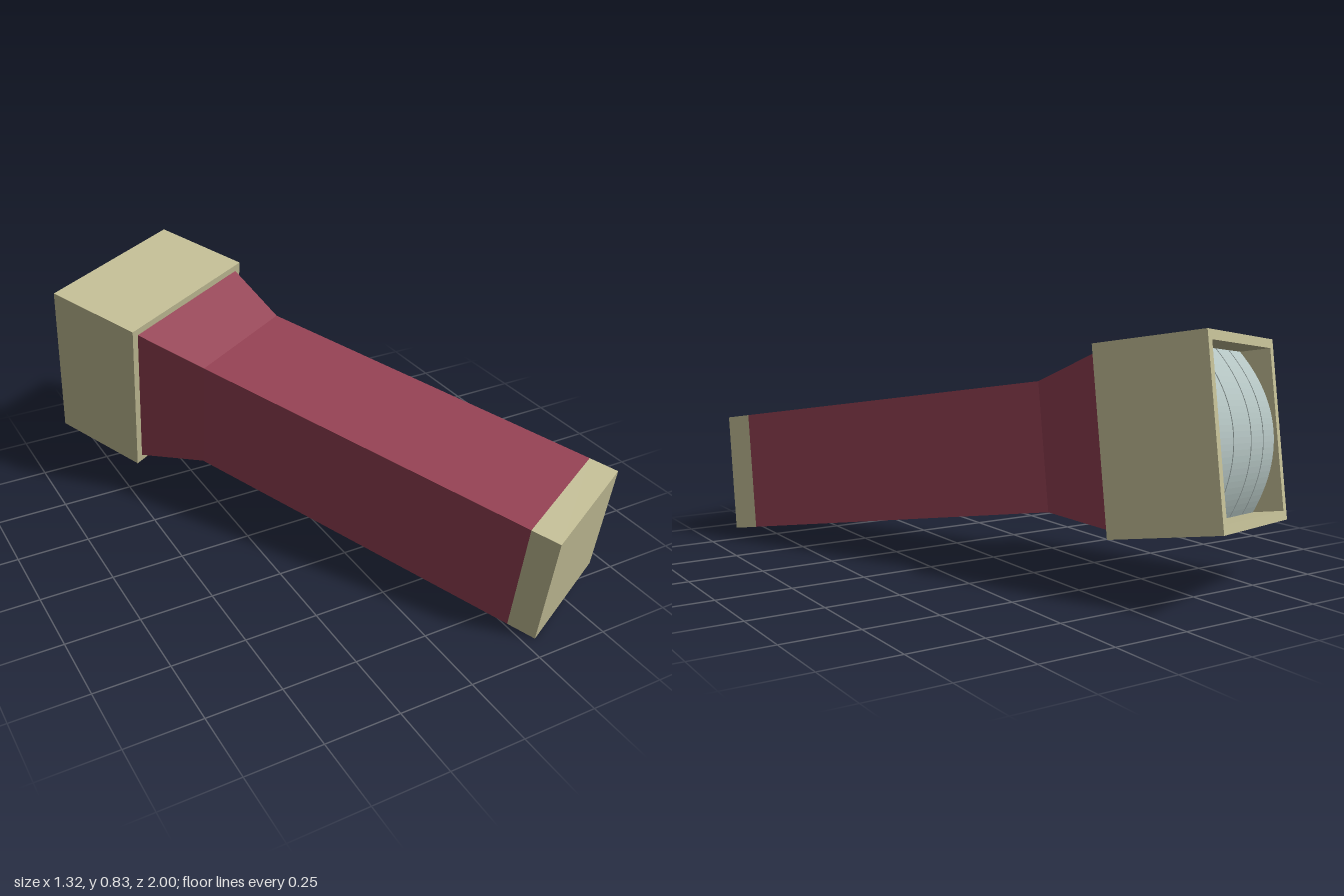
import * as THREE from 'three';

const material = (name, color, flatShading = false) => {
  const m = new THREE.MeshStandardMaterial({ color, flatShading });
  m.name = name;
  return m;
};

// Square tube section along z, from half-width h0 at z0 to h1 at z1
function squareSection(z0, h0, z1, h1, open = true) {
  const g = new THREE.CylinderGeometry(h1 * Math.SQRT2, h0 * Math.SQRT2, z1 - z0, 4, 1, open, Math.PI / 4);
  g.rotateX(Math.PI / 2);
  g.translate(0, 0, (z0 + z1) / 2);
  return g;
}

function squarePath(path, h) {
  path.moveTo(-h, -h);
  path.lineTo(h, -h);
  path.lineTo(h, h);
  path.lineTo(-h, h);
  path.closePath();
  return path;
}

export function createModel() {
  const tan = material('tan', 0xc2bd95, true);
  const red = material('burgundy', 0x934052, true);
  const glass = material('pale glass', 0xb4c4c2);
  const dark = material('dark gap', 0x4a5254);

  const model = new THREE.Group();
  const torch = new THREE.Group();
  torch.name = 'torch';
  model.add(torch);

  const add = (name, geometry, mat) => {
    const mesh = new THREE.Mesh(geometry, mat);
    mesh.name = name;
    torch.add(mesh);
    return mesh;
  };

  // Dimensions along the axis, measured from the lens end
  const headEnd = 0.363, neckEnd = 0.6, capStart = 1.825, length = 1.922;
  const headHalf = 0.292, neckHalf = 0.27, gripHalf = 0.206, innerHalf = 0.262;

  // Hollow square head
  const headShape = squarePath(new THREE.Shape(), headHalf);
  headShape.holes.push(squarePath(new THREE.Path(), innerHalf));
  add('head', new THREE.ExtrudeGeometry(headShape, { depth: headEnd, bevelEnabled: false }), tan);

  // Flared neck, grip and end cap
  add('neck', squareSection(headEnd - 0.01, neckHalf, neckEnd, gripHalf), red);
  add('grip', squareSection(neckEnd, gripHalf, capStart, gripHalf), red);
  add('endCap', squareSection(capStart, gripHalf, length, gripHalf, false), tan);

  // Panel behind the lens
  const panel = add('lensBacking', new THREE.BoxGeometry(innerHalf * 2, innerHalf * 2, 0.02), dark);
  panel.position.z = 0.12;

  // Bulging lens split into four strips
  const profile = new THREE.Shape();
  profile.moveTo(0.105, -innerHalf);
  profile.lineTo(0.105, innerHalf);
  profile.lineTo(0.1, innerHalf);
  profile.quadraticCurveTo(-0.08, 0, 0.1, -innerHalf);
  const cuts = [0, 0.27, 0.57, 0.79, 1];
  const gap = 0.007;
  for (let i = 0; i < 4; i++) {
    const depth = (cuts[i + 1] - cuts[i]) * innerHalf * 2 - gap;
    const strip = new THREE.ExtrudeGeometry(profile, { depth, bevelEnabled: false, curveSegments: 28 });
    strip.rotateY(-Math.PI / 2);
    strip.translate(innerHalf - cuts[i] * innerHalf * 2 - gap / 2, 0, 0);
    add('lensStrip' + (i + 1), strip, glass);
  }

  // Tilt the whole torch: local z runs from the lens to the end cap
  const side = new THREE.Vector3(0.892, 0.104, -0.44).normalize();
  const axis = new THREE.Vector3(0.4515, -0.15, 0.88).normalize();
  const up = new THREE.Vector3().crossVectors(axis, side).normalize();
  side.crossVectors(up, axis);
  torch.quaternion.setFromRotationMatrix(new THREE.Matrix4().makeBasis(side, up, axis));
  torch.position.set(-0.397, 0.5125, -0.82);

  return model;
}
